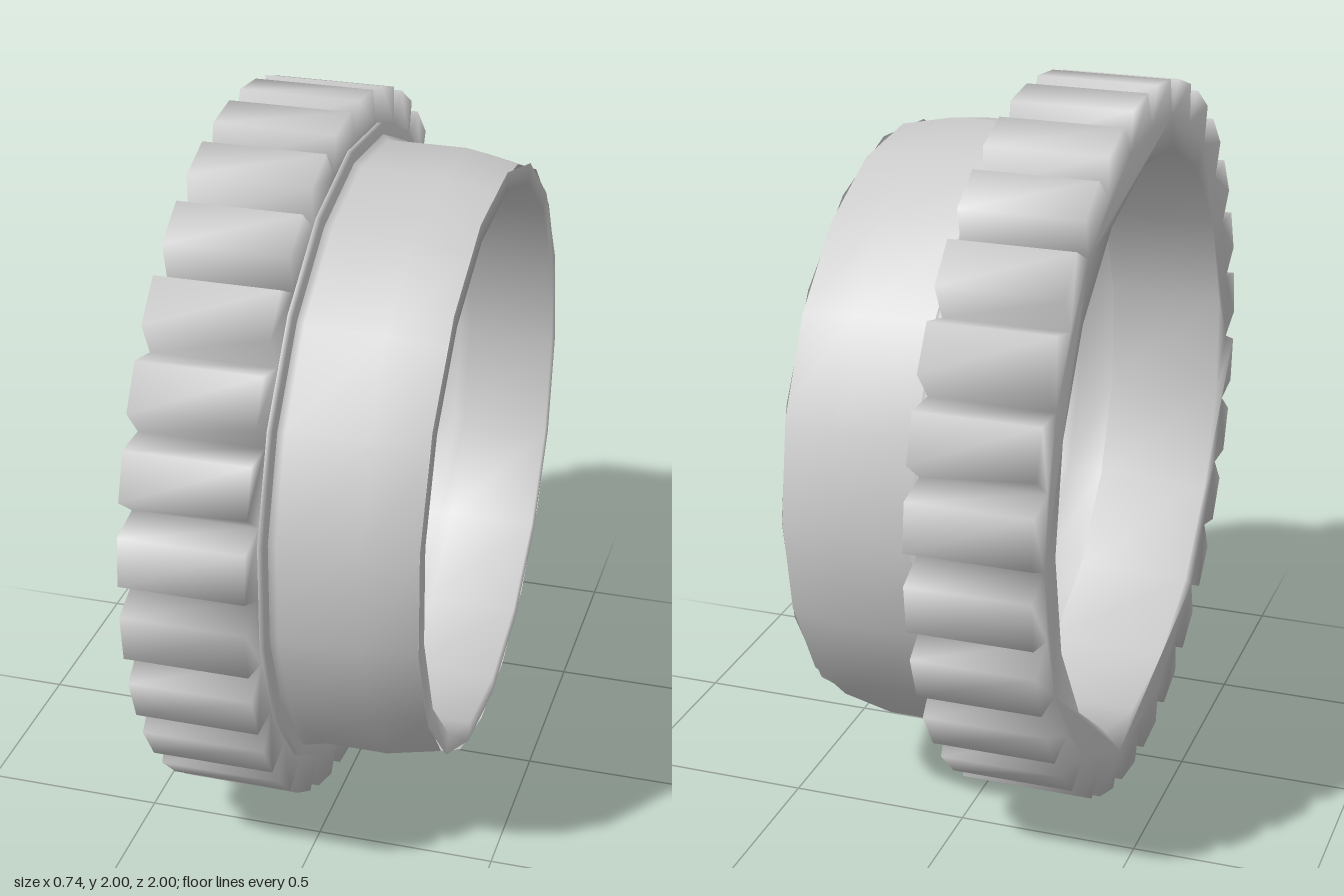
import * as THREE from 'three';
import { mergeVertices } from 'three/addons/utils/BufferGeometryUtils.js';

const material = new THREE.MeshStandardMaterial({ color: 0xcccccc });
const thinMaterial = new THREE.MeshStandardMaterial({ color: 0xcccccc, side: THREE.DoubleSide });

// Share vertices so shading flows over every edge
function smooth(geometry) {
  geometry.deleteAttribute('normal');
  geometry.deleteAttribute('uv');
  const merged = mergeVertices(geometry, 1e-4);
  merged.computeVertexNormals();
  return merged;
}

// Revolve a profile of [x, radius] pairs about the x axis
function revolve(name, profile, sides) {
  const points = profile.map(([x, r]) => new THREE.Vector2(r, x));
  const geometry = new THREE.LatheGeometry(points, sides, Math.PI);
  geometry.rotateZ(-Math.PI / 2);
  const mesh = new THREE.Mesh(smooth(geometry), thinMaterial);
  mesh.name = name;
  return mesh;
}

// Toothed ring: trapezoid teeth meeting in V-shaped roots, with a faceted bore
function toothedRing() {
  const teeth = 28, root = 0.9, tip = 1.0, tipHalf = 0.067, boreSides = 17, bore = 0.812;
  const pitch = (Math.PI * 2) / teeth;
  const polar = (r, a) => new THREE.Vector2(r * Math.cos(a), r * Math.sin(a));
  const outline = [];
  for (let i = 0; i < teeth; i++) {
    const a = i * pitch;
    outline.push(polar(root, a), polar(tip, a + pitch / 2 - tipHalf), polar(tip, a + pitch / 2 + tipHalf));
  }
  const shape = new THREE.Shape(outline);
  const hole = [];
  for (let i = 0; i < boreSides; i++) hole.push(polar(bore, (-i * Math.PI * 2) / boreSides));
  shape.holes.push(new THREE.Path(hole));
  const geometry = new THREE.ExtrudeGeometry(shape, { depth: 0.335, bevelEnabled: false });
  geometry.rotateY(Math.PI / 2);
  geometry.translate(-0.37, 0, 0);
  const mesh = new THREE.Mesh(smooth(geometry), material);
  mesh.name = 'toothedRing';
  return mesh;
}

export function createModel() {
  const group = new THREE.Group();
  group.name = 'gearCollar';

  group.add(toothedRing());

  // Thin step between the teeth and the collar
  group.add(revolve('flange', [[-0.036, 0.903], [-0.02, 0.903], [-0.015, 0.855]], 19));

  // Outer sleeve with a chamfered free end
  group.add(revolve('collar',
    [[-0.02, 0.875], [0, 0.858], [0.22, 0.858], [0.365, 0.828]], 19));

  // Flat end rim and inner lining, easing out to the wider bore
  group.add(revolve('innerLining',
    [[0.365, 0.83], [0.365, 0.775], [0.11, 0.775], [0.07, 0.805], [-0.035, 0.812]], 17));

  group.position.y = 1;
  const model = new THREE.Group();
  model.name = 'model';
  model.add(group);
  return model;
}
